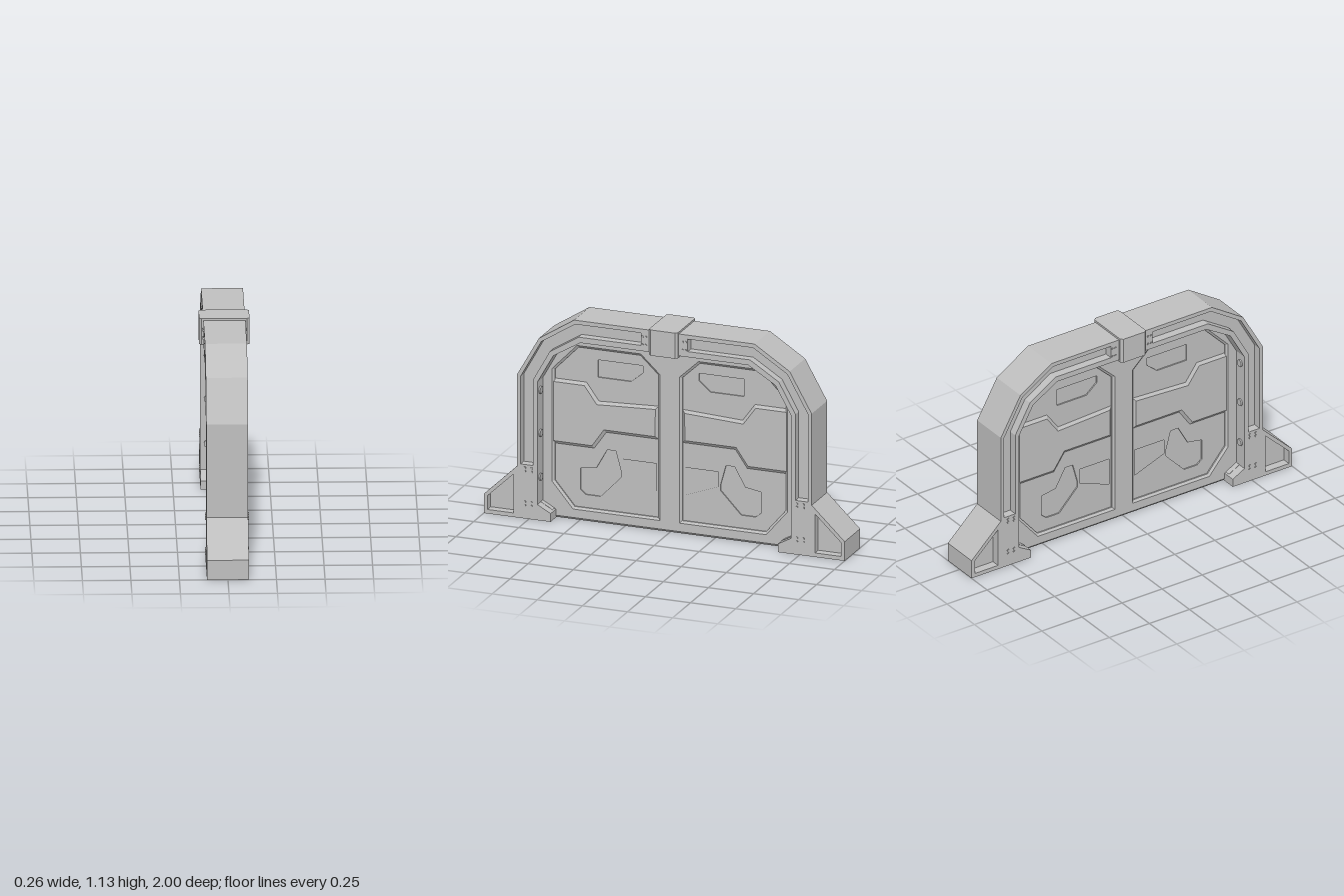
import * as THREE from 'three';

const HALF = 0.108;   // half thickness of the frame
const WEB = 0.062;    // half thickness at the bottom of the frame channels
const SLAB = 0.033;   // half thickness of the door slab
const FLOOR = 0.016;  // half thickness of the sunken door panels
const CORE = 0.009;   // half thickness under the panel cut-outs

const mirror = pts => pts.map(([z, y]) => [-z, y]).reverse();
const both = pts => [pts, mirror(pts)];
const toPath = (pts, Kind) => new Kind(pts.map(p => new THREE.Vector2(...p)));

// Extrudes a side-view outline of (z, y) points evenly about x = 0
function plate(outline, half, holes = [], bevel = 0, rise = 0) {
  const shape = toPath(outline, THREE.Shape);
  shape.holes = holes.map(h => toPath(h, THREE.Path));
  const depth = 2 * (half - rise);
  const geo = new THREE.ExtrudeGeometry(shape, {
    depth, bevelEnabled: bevel > 0, bevelSize: bevel, bevelThickness: rise,
    bevelOffset: -bevel, bevelSegments: 1, steps: 1,
  });
  geo.translate(0, 0, -depth / 2);
  geo.rotateY(-Math.PI / 2);
  return geo;
}

export function createModel() {
  const group = new THREE.Group();
  const metal = new THREE.MeshStandardMaterial({ color: 0xbebebe });
  metal.name = 'grey metal';
  const add = (name, geo, x = 0, y = 0, z = 0) => {
    const mesh = new THREE.Mesh(geo, metal);
    mesh.name = name;
    mesh.position.set(x, y, z);
    group.add(mesh);
    return mesh;
  };

  // Arched frame with splayed feet and inward toes
  const outer = [[1, 0], [1, 0.105], [0.817, 0.28], [0.817, 0.78], [0.695, 0.995], [0.5, 1.12]];
  const inner = [[0.465, 1.0], [0.615, 0.91], [0.703, 0.755], [0.703, 0.085], [0.63, 0.045], [0.63, 0]];
  const arch = [...outer, ...mirror(outer), ...mirror(inner), ...inner];

  // Channel following the arch, and the pocket in each foot
  const channel = [
    [0.797, 0.295], [0.797, 0.773], [0.682, 0.978], [0.493, 1.098], [0.13, 1.098],
    [0.13, 1.03], [0.475, 1.03], [0.635, 0.93], [0.727, 0.765], [0.727, 0.295],
  ];
  const footPocket = [[0.98, 0.022], [0.98, 0.097], [0.835, 0.235], [0.835, 0.022]];
  add('frame', plate(arch, HALF, [...both(channel), ...both(footPocket)]));
  add('frameWeb', plate([...outer.map(([z, y]) => [z - 0.008, Math.max(y - 0.006, 0.004)]),
    ...mirror(outer.map(([z, y]) => [z - 0.008, Math.max(y - 0.006, 0.004)])),
    ...mirror(inner.map(([z, y]) => [z + 0.008, y + 0.006])),
    ...inner.map(([z, y]) => [z + 0.008, y + 0.006])], WEB));

  // Door slab with two chamfered panel openings
  const slabSide = [[0.72, 0], [0.72, 0.76], [0.63, 0.92], [0.475, 1.015]];
  const slab = [...slabSide, ...mirror(slabSide)];
  const opening = [
    [0.066, 0.07], [0.066, 0.85], [0.165, 0.943], [0.508, 0.943],
    [0.64, 0.806], [0.64, 0.2], [0.53, 0.07],
  ];
  add('doorSlab', plate(slab, SLAB, both(opening), 0.012, 0.01));

  // Sunken panels with cut-out details over a thin core
  const cutouts = [
    [[0.405, 0.885], [0.155, 0.885], [0.155, 0.845], [0.22, 0.79], [0.405, 0.79]],
    [[0.08, 0.36], [0.265, 0.36], [0.265, 0.28], [0.08, 0.21]],
    [[0.255, 0.29], [0.255, 0.26], [0.39, 0.14], [0.47, 0.14], [0.5, 0.165],
      [0.5, 0.28], [0.412, 0.295], [0.353, 0.4], [0.305, 0.4]],
  ];
  // the third cut-out sits beside the second, so keep a narrow web between them
  cutouts[2] = cutouts[2].map(([z, y]) => [Math.max(z, 0.275), y]);
  const panel = [[0.05, 0.04], [0.05, 0.97], [0.53, 0.97], [0.665, 0.82], [0.665, 0.18], [0.55, 0.04]];
  for (const side of [1, -1]) {
    const flip = pts => (side > 0 ? pts : mirror(pts));
    add('doorPanel', plate(flip(panel), FLOOR, cutouts.map(flip)));
    add('panelCore', plate(flip(panel), CORE));
    // Raised, bevelled band across the panel
    const band = [
      [0.672, 0.755], [0.467, 0.755], [0.398, 0.66], [0.066, 0.676],
      [0.066, 0.495], [0.358, 0.495], [0.424, 0.4], [0.672, 0.4],
    ];
    add('panelBand', plate(flip(band), FLOOR + 0.012, [], 0.016, 0.012));
  }

  // Clamp over the crown, with chamfered upright edges
  const c = 0.013, cx = 0.13, cz = 0.08;
  const clampOutline = [
    [cx, cz - c], [cx - c, cz], [c - cx, cz], [-cx, cz - c],
    [-cx, c - cz], [c - cx, -cz], [cx - c, -cz], [cx, c - cz],
  ];
  const clamp = new THREE.ExtrudeGeometry(toPath(clampOutline, THREE.Shape), { depth: 0.14, bevelEnabled: false });
  clamp.rotateX(-Math.PI / 2);
  add('crownClamp', clamp, 0, 0.99, 0);

  // Small bolts on the frame faces, and round studs inside the jambs
  const bolt = new THREE.CylinderGeometry(0.006, 0.006, 0.01, 8).rotateZ(Math.PI / 2);
  const stud = new THREE.CylinderGeometry(0.02, 0.02, 0.012, 16).rotateX(Math.PI / 2);
  const boltSpots = [];
  for (const z of [0.735, 0.772]) for (const y of [0.072, 0.092, 0.26, 0.278]) boltSpots.push([z, y]);
  for (const z of [0.102, 0.12]) for (const y of [1.035, 1.08]) boltSpots.push([z, y]);
  for (const sx of [1, -1]) for (const sz of [1, -1]) {
    for (const [z, y] of boltSpots) add('frameBolt', bolt, sx * HALF, y, sz * z);
    for (const y of [0.225, 0.465, 0.7]) add('jambStud', stud, sx * 0.07, y, sz * 0.701);
  }
  return group;
}
